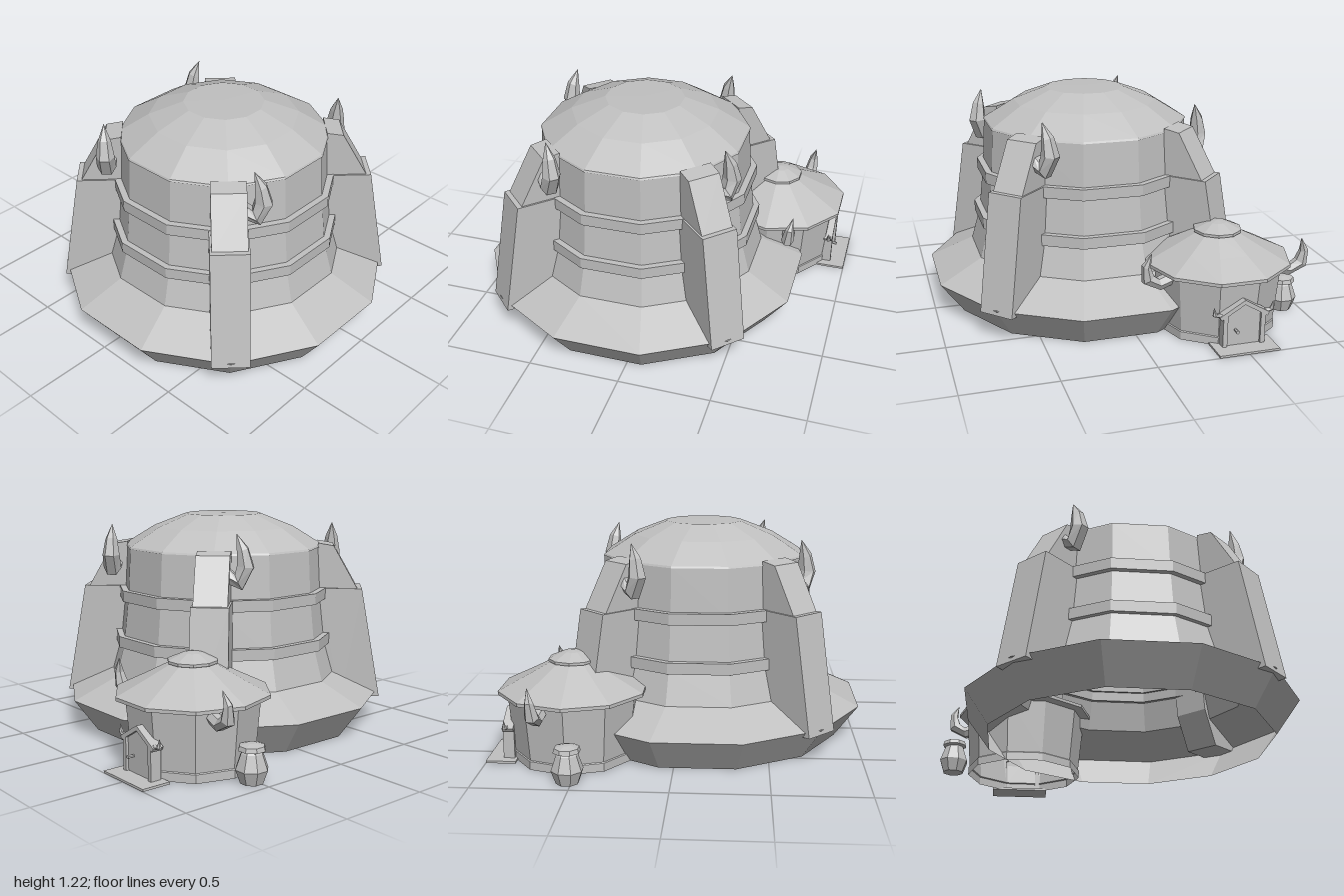
import * as THREE from 'three';

const stone = new THREE.MeshStandardMaterial({ color: 0xc0c0c0, flatShading: true, side: THREE.DoubleSide });
stone.name = 'stoneGrey';

function add(parent, name, geometry, x = 0, y = 0, z = 0) {
  const mesh = new THREE.Mesh(geometry, stone);
  mesh.name = name;
  mesh.position.set(x, y, z);
  parent.add(mesh);
  return mesh;
}

// Faceted ring: profile of [flat-to-flat half width, height], with flat sides facing the axes
function faceted(profile, sides) {
  const k = 1 / Math.cos(Math.PI / sides);
  const geometry = new THREE.LatheGeometry(profile.map(([r, y]) => new THREE.Vector2(r * k, y)), sides);
  return geometry.rotateY(Math.PI / sides);
}

// Six-sided tapering horn along a curve
function horn(points, radii) {
  const curve = new THREE.CatmullRomCurve3(points.map((p) => new THREE.Vector3(...p)));
  const n = radii.length - 1;
  const geometry = new THREE.TubeGeometry(curve, n, 1, 6);
  const pos = geometry.attributes.position;
  const v = new THREE.Vector3();
  for (let i = 0; i < pos.count; i++) {
    const ring = Math.floor(i / 7);
    const c = curve.getPointAt(ring / n);
    v.fromBufferAttribute(pos, i).sub(c).multiplyScalar(radii[ring]).add(c);
    pos.setXYZ(i, v.x, v.y, v.z);
  }
  return geometry;
}

// Flat outline extruded to a thickness centred on z
function slab(outline, depth) {
  const shape = new THREE.Shape(outline.map(([x, y]) => new THREE.Vector2(x, y)));
  return new THREE.ExtrudeGeometry(shape, { depth, bevelEnabled: false }).translate(0, 0, -depth / 2);
}

function createHall() {
  const hall = new THREE.Group();
  hall.name = 'mainHall';
  hall.position.set(0.083, 0, 0.125);

  // Flared base, open underneath
  add(hall, 'base', faceted([[0.76, 0], [0.89, 0.185], [0.65, 0.3]], 12));
  add(hall, 'wall', faceted([[0.65, 0.3], [0.6, 0.48], [0.57, 0.76], [0.555, 1.03]], 12));
  add(hall, 'dome', faceted([[0.56, 1.025], [0.555, 1.035], [0.39, 1.14], [0.21, 1.212], [0, 1.215]], 12));
  for (const [r, inner, y] of [[0.628, 0.58, 0.47], [0.603, 0.555, 0.73]]) {
    add(hall, 'wallBand', faceted([[inner, y], [r, y], [r, y + 0.062], [inner, y + 0.062]], 12));
  }

  // Four diagonal buttresses, each with a horn on one side
  for (let i = 0; i < 4; i++) {
    const buttress = new THREE.Group();
    buttress.name = 'buttress';
    buttress.rotation.y = Math.PI / 4 + i * Math.PI / 2;
    hall.add(buttress);
    add(buttress, 'buttressFoot', slab([[0.7, 0.15], [0.92, 0.16], [0.806, 0.79], [0.56, 0.79], [0.6, 0.35]], 0.2));
    add(buttress, 'buttressTop', slab([[0.56, 0.78], [0.785, 0.78], [0.64, 1.035], [0.55, 1.05]], 0.18));
    add(buttress, 'buttressHorn', horn(
      [[0.63, 0.94, -0.06], [0.633, 0.9, -0.135], [0.633, 0.99, -0.172], [0.633, 1.15, -0.124]],
      [0.045, 0.052, 0.05, 0.035, 0.001]));
  }
  return hall;
}

function createHut() {
  const hut = new THREE.Group();
  hut.name = 'hut';
  hut.position.set(-0.48, 0, -0.55);

  add(hut, 'hutWall', faceted([[0.315, 0], [0.315, 0.045], [0.31, 0.05], [0.338, 0.365]], 10));
  add(hut, 'hutRoof', faceted([[0.335, 0.355], [0.385, 0.362], [0.385, 0.38], [0.24, 0.455], [0.11, 0.525]], 10));
  add(hut, 'roofCap', faceted([[0.09, 0.515], [0.125, 0.525], [0.125, 0.54], [0.048, 0.575], [0, 0.583]], 10));

  // Pair of wall horns
  for (const s of [-1, 1]) {
    add(hut, 'hutHorn', horn(
      [[s * 0.3, 0.33, -0.12], [s * 0.4, 0.31, -0.135], [s * 0.452, 0.38, -0.14], [s * 0.425, 0.492, -0.16]],
      [0.035, 0.036, 0.038, 0.025, 0.001]));
  }

  // Doorway with gable, posts and knob, facing the back
  const door = new THREE.Group();
  door.name = 'doorway';
  door.position.set(-0.02, 0, -0.335);
  hut.add(door);
  add(door, 'doorPanel', slab([[-0.1, 0.01], [0.1, 0.01], [0.1, 0.18], [0, 0.24], [-0.1, 0.18]], 0.03));
  for (const s of [-1, 1]) {
    add(door, 'doorPost', new THREE.BoxGeometry(0.025, 0.18, 0.06), s * 0.105, 0.1, 0);
    const beam = add(door, 'gableBeam', new THREE.BoxGeometry(0.16, 0.022, 0.06), s * 0.065, 0.215, 0);
    beam.rotation.z = -s * 0.54;
    add(door, 'gableHorn', horn(
      [[s * 0.12, 0.185, -0.01], [s * 0.155, 0.185, -0.01], [s * 0.165, 0.235, -0.01]], [0.014, 0.013, 0.001]));
  }
  const knob = add(door, 'doorKnob', new THREE.CylinderGeometry(0.01, 0.007, 0.04, 6), 0.045, 0.1, -0.033);
  knob.rotation.x = -Math.PI / 2;
  add(hut, 'doorstep', new THREE.BoxGeometry(0.335, 0.012, 0.16), -0.022, 0.006, -0.37);

  // Storage pot beside the wall
  add(hut, 'pot', faceted([[0, 0], [0.055, 0], [0.078, 0.07], [0.052, 0.15], [0.045, 0.16]], 8), -0.42, 0, 0.03);
  add(hut, 'potLid', faceted([[0.04, 0.155], [0.066, 0.165], [0.06, 0.188], [0.02, 0.2], [0, 0.2]], 8), -0.42, 0, 0.03);
  return hut;
}

export function createModel() {
  const model = new THREE.Group();
  model.name = 'domedHallWithHut';
  model.add(createHall(), createHut());
  return model;
}
